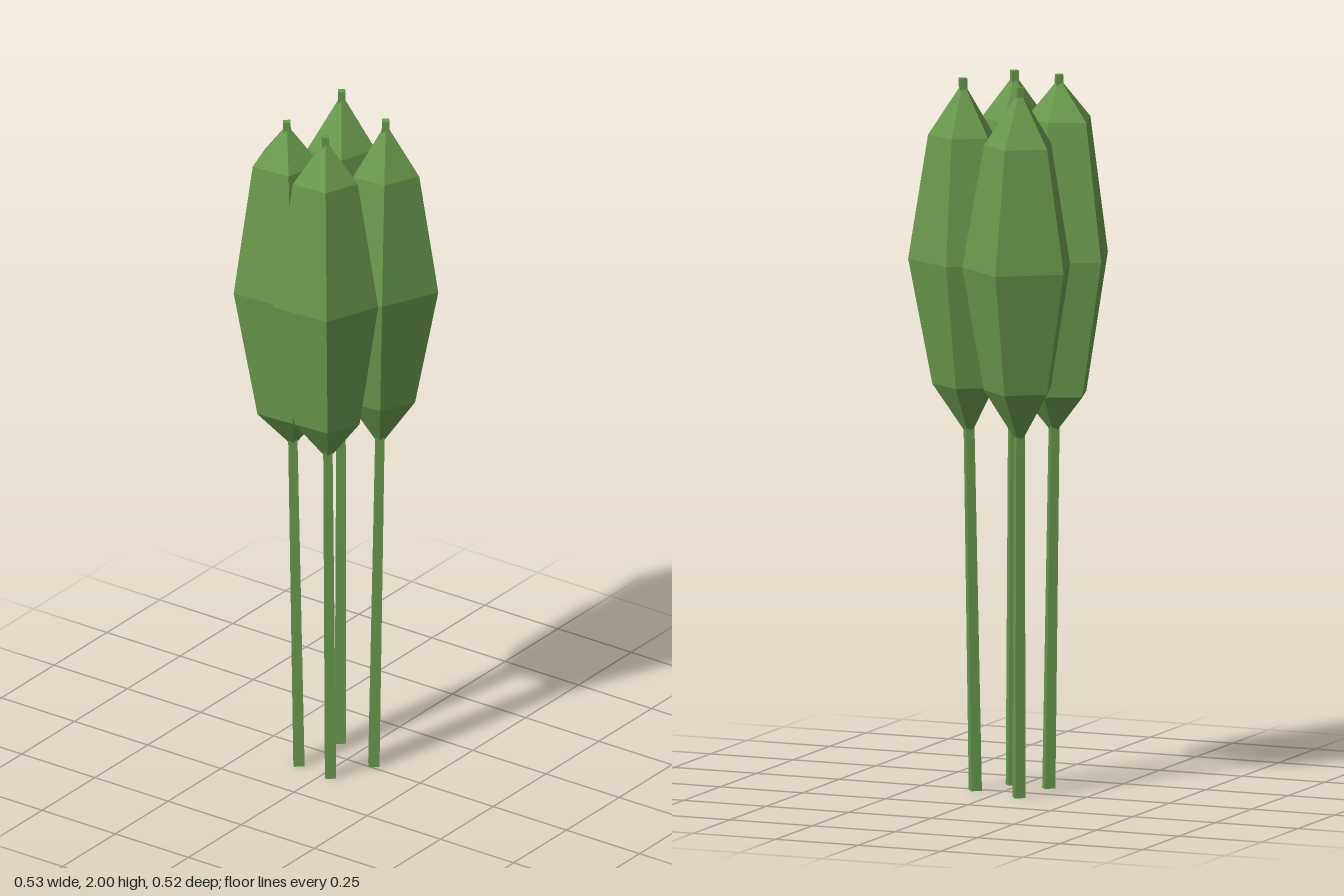
import * as THREE from 'three';

const STEM_HEIGHT = 2;
const MID = 1.49;

// Each plant: stem foot and tip (x, z), height of the shoulder rings above and
// below the middle, and the five widest corners of the head (x, z).
const PLANTS = [
  { foot: [-0.102, -0.09], tip: [-0.137, -0.106], shoulder: 0.385,
    corners: [[-0.005, -0.105], [-0.076, -0.26], [-0.26, -0.199], [-0.248, -0.01], [-0.063, 0.032]] },
  { foot: [0.08, -0.08], tip: [0.106, -0.094], shoulder: 0.345,
    corners: [[0.264, -0.09], [0.151, -0.247], [-0.026, -0.188], [-0.035, 0.005], [0.148, 0.062]] },
  { foot: [-0.112, 0.025], tip: [-0.15, 0.035], shoulder: 0.375,
    corners: [[-0.024, 0.033], [-0.095, -0.08], [-0.265, -0.06], [-0.254, 0.114], [-0.094, 0.175]] },
  { foot: [0.017, 0.08], tip: [0.029, 0.112], shoulder: 0.35,
    corners: [[0.168, 0.102], [0.075, -0.035], [-0.1, 0.02], [-0.087, 0.183], [0.077, 0.257]] },
];

// Point on the leaning stem axis at height y
function axisAt(plant, y) {
  const t = y / STEM_HEIGHT;
  return [0, 1].map((k) => plant.foot[k] + (plant.tip[k] - plant.foot[k]) * t);
}

// Four-sided tapering stem, sheared along its axis
function stemGeometry(plant) {
  const geo = new THREE.CylinderGeometry(0.014, 0.021, STEM_HEIGHT, 4);
  geo.rotateY(-0.1);
  geo.translate(0, STEM_HEIGHT / 2, 0);
  const pos = geo.attributes.position;
  for (let i = 0; i < pos.count; i++) {
    const [ax, az] = axisAt(plant, pos.getY(i));
    pos.setX(i, pos.getX(i) + ax);
    pos.setZ(i, pos.getZ(i) + az);
  }
  geo.computeVertexNormals();
  return geo;
}

// Faceted five-sided head: rings of scaled corners from bottom to top
function headGeometry(plant) {
  const mid = axisAt(plant, MID);
  const levels = [[-0.5, 0], [-plant.shoulder, 0.62], [0, 1], [plant.shoulder, 0.62], [0.5, 0]];
  const points = [];
  for (const [dy, scale] of levels) {
    const [ax, az] = axisAt(plant, MID + dy);
    for (const [x, z] of plant.corners) {
      points.push(ax + (x - mid[0]) * scale, MID + dy, az + (z - mid[1]) * scale);
    }
  }
  const index = [];
  for (let r = 0; r < 4; r++) {
    for (let i = 0; i < 5; i++) {
      const a = r * 5 + i;
      const b = r * 5 + ((i + 1) % 5);
      if (r > 0) index.push(a, b, b + 5);
      if (r < 3) index.push(a, b + 5, a + 5);
      // bottom fan uses the lone triangle above, top fan the lone one before it
    }
  }
  const geo = new THREE.BufferGeometry();
  geo.setAttribute('position', new THREE.Float32BufferAttribute(points, 3));
  geo.setIndex(index);
  const flat = geo.toNonIndexed();
  flat.computeVertexNormals();
  return flat;
}

export function createModel() {
  const group = new THREE.Group();
  const green = new THREE.MeshStandardMaterial({ color: 0x6a994e, flatShading: true });
  green.name = 'leafGreen';

  PLANTS.forEach((plant, i) => {
    const reed = new THREE.Group();
    reed.name = `reed${i + 1}`;
    const stem = new THREE.Mesh(stemGeometry(plant), green);
    stem.name = 'stem';
    const head = new THREE.Mesh(headGeometry(plant), green);
    head.name = 'head';
    reed.add(stem, head);
    group.add(reed);
  });
  return group;
}
